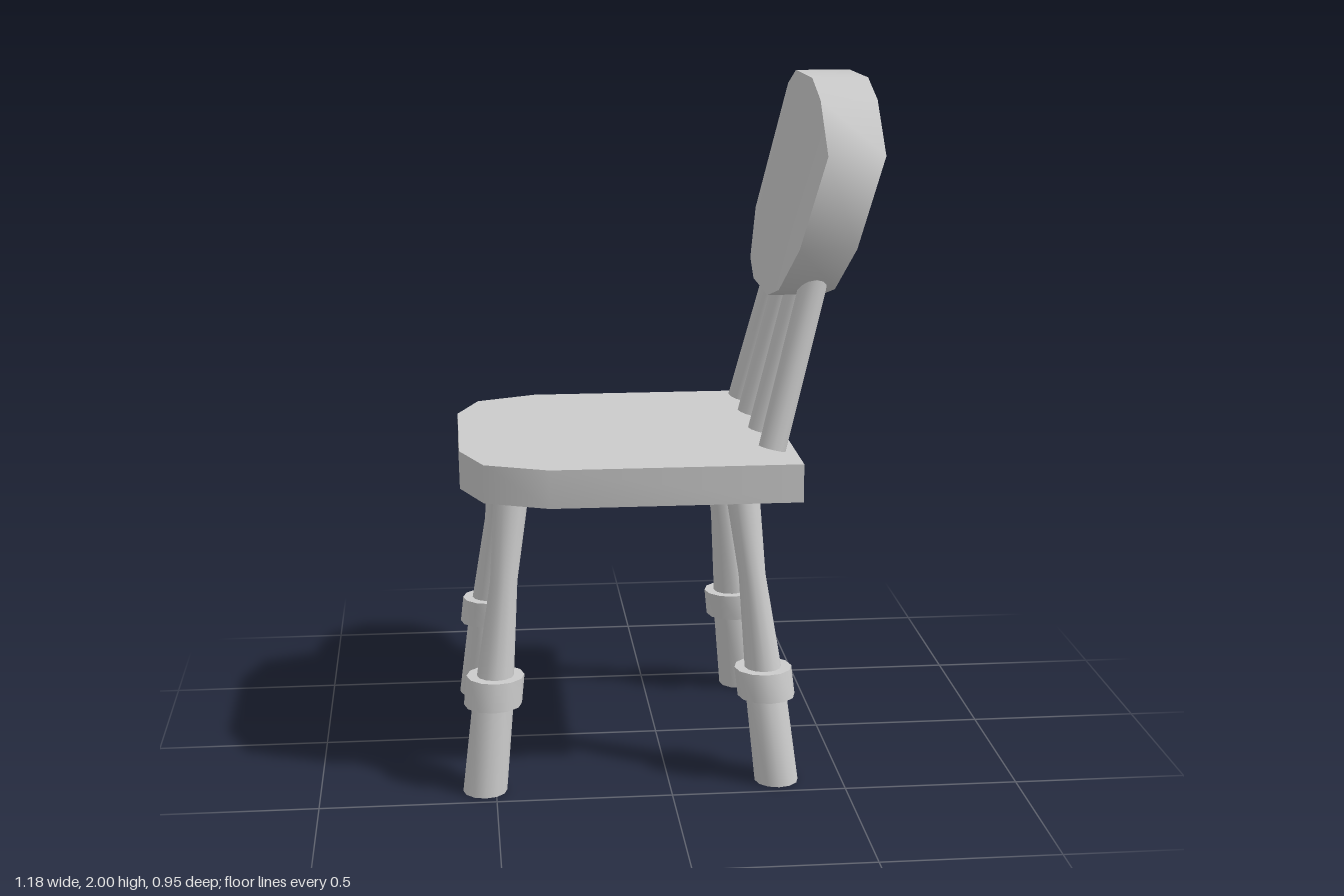
import * as THREE from 'three';
import { toCreasedNormals } from 'three/addons/utils/BufferGeometryUtils.js';

const CREASE = 0.9;

export function createModel() {
  const model = new THREE.Group();
  const material = new THREE.MeshStandardMaterial({ color: 0xcccccc });

  const add = (name, geometry) => {
    const mesh = new THREE.Mesh(toCreasedNormals(geometry, CREASE), material);
    mesh.name = name;
    model.add(mesh);
    return mesh;
  };

  // Seat: square at the back, rounded towards the sitter's knees (-x)
  const half = [[0.37, 0.475], [-0.34, 0.475], [-0.52, 0.4], [-0.585, 0.235]];
  const outline = [...half, ...half.map(([x, z]) => [x, -z]).reverse()];
  const seatShape = new THREE.Shape(outline.map(([x, z]) => new THREE.Vector2(x, z)));
  const seat = new THREE.ExtrudeGeometry(seatShape, { depth: 0.11, bevelEnabled: false });
  seat.rotateX(Math.PI / 2).translate(0, 0.96, 0);
  add('seat', seat);

  // Legs: turned profile with a collar, sheared so they splay with flat feet
  const profile = [
    [0, 0], [0.063, 0], [0.059, 0.25], [0.083, 0.25], [0.083, 0.332],
    [0.053, 0.332], [0.039, 0.6], [0.05, 0.86], [0, 0.86],
  ].map(([r, y]) => new THREE.Vector2(r, y));
  const addLeg = (name, footX, topX, side) => {
    const leg = new THREE.LatheGeometry(profile, 12);
    const shear = new THREE.Matrix4().set(
      1, (topX - footX) / 0.85, 0, footX,
      0, 1, 0, 0,
      0, side * (0.295 - 0.411) / 0.85, 1, side * 0.411,
      0, 0, 0, 1,
    );
    leg.applyMatrix4(shear);
    add(name, leg);
  };
  for (const side of [-1, 1]) {
    addLeg('frontLeg', -0.531, -0.44, side);
    addLeg('backLeg', 0.312, 0.22, side);
  }

  // Spindles: leaning rods running up into the backrest
  const up = new THREE.Vector3(0, 1, 0);
  for (const side of [-1, 1]) {
    for (const [z0, z1] of [[0.335, 0.278], [0.115, 0.1]]) {
      const a = new THREE.Vector3(0.3, 0.972, side * z0);
      const b = new THREE.Vector3(0.435, 1.5, side * z1);
      const dir = b.clone().sub(a);
      const rod = new THREE.CylinderGeometry(0.04, 0.04, dir.length(), 12);
      const spindle = add('spindle', rod);
      spindle.quaternion.setFromUnitVectors(up, dir.normalize());
      spindle.position.copy(a).add(b).multiplyScalar(0.5);
    }
  }

  // Backrest: twelve-sided panel made of columns, leaning below its widest part
  const columns = [
    [-0.43, 1.81, 1.555], [-0.29, 1.95, 1.42], [-0.145, 2, 1.38],
    [0.145, 2, 1.38], [0.29, 1.95, 1.42], [0.43, 1.81, 1.555],
  ];
  const lean = new Map([[2, 0.43], [1.95, 0.43], [1.81, 0.43], [1.555, 0.355], [1.42, 0.32], [1.38, 0.31]]);
  const thick = 0.16;
  const positions = [];
  for (const [z, top, bottom] of columns) {
    const xt = lean.get(top), xb = lean.get(bottom);
    positions.push(xt, top, z, xt + thick, top, z, xb + thick, bottom, z, xb, bottom, z);
  }
  const index = [0, 1, 2, 0, 2, 3];
  for (let i = 0; i < columns.length - 1; i++) {
    for (let k = 0; k < 4; k++) {
      const a = i * 4 + k, b = i * 4 + (k + 1) % 4;
      index.push(a, a + 4, b + 4, a, b + 4, b);
    }
  }
  const end = (columns.length - 1) * 4;
  index.push(end, end + 2, end + 1, end, end + 3, end + 2);
  const backrest = new THREE.BufferGeometry();
  backrest.setAttribute('position', new THREE.Float32BufferAttribute(positions, 3));
  backrest.setIndex(index);
  add('backrest', backrest);

  return model;
}
